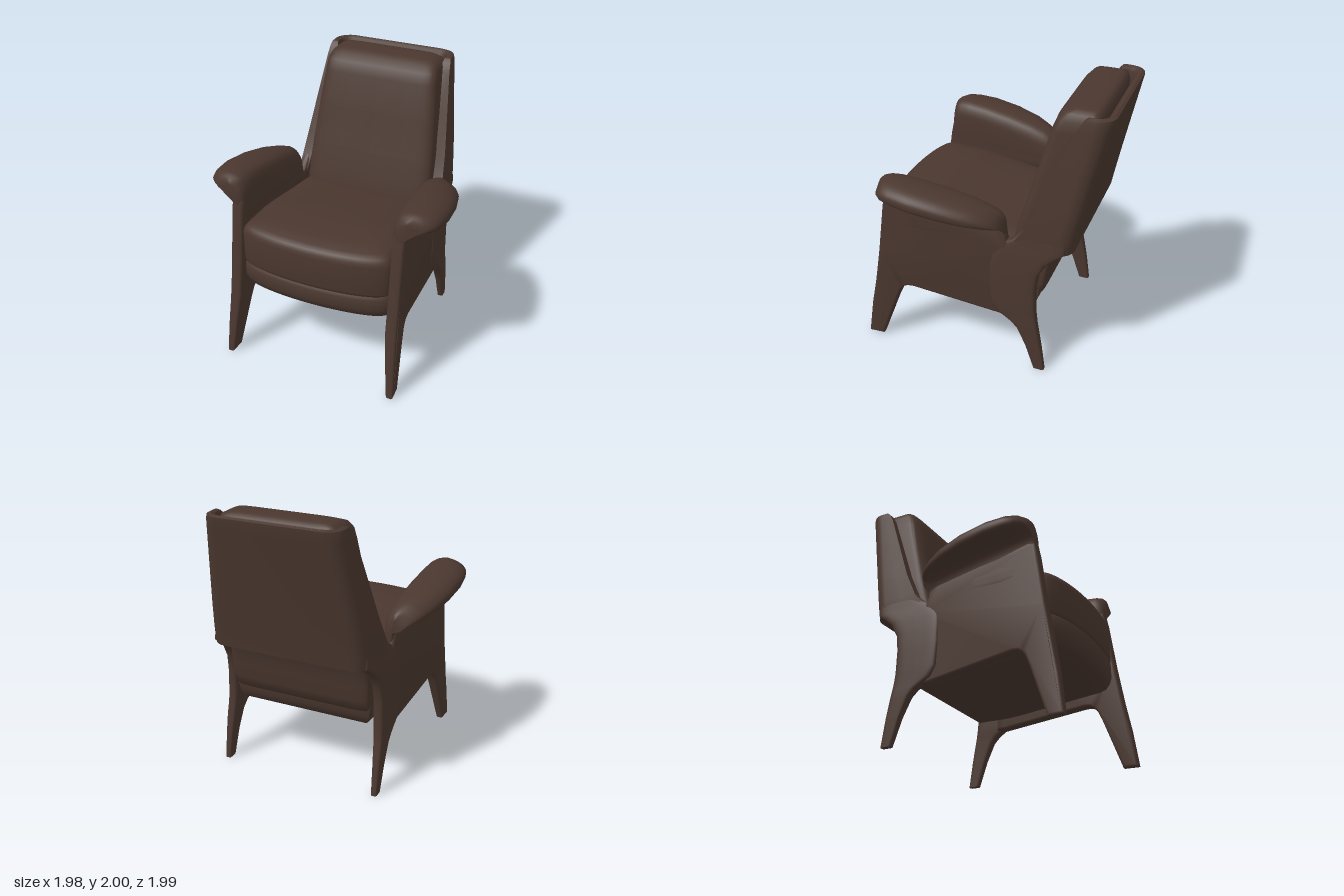
import * as THREE from 'three';
import { toCreasedNormals } from 'three/addons/utils/BufferGeometryUtils.js';

const leather = new THREE.MeshStandardMaterial({ color: 0x4a372f });
leather.name = 'darkBrownLeather';

// Skins a row of equal-length closed rings of [x, y, z], capping both ends if asked
function skin(rings, capped = true) {
  const seg = rings[0].length, pos = rings.flat(2), idx = [];
  for (let i = 0; i < rings.length - 1; i++) {
    for (let j = 0; j < seg; j++) {
      const a = i * seg + j, b = i * seg + (j + 1) % seg;
      idx.push(a, a + seg, b, b, a + seg, b + seg);
    }
  }
  if (capped) [0, rings.length - 1].forEach((i) => {
    const c = pos.length / 3;
    for (let k = 0; k < 3; k++) pos.push(rings[i].reduce((sum, p) => sum + p[k], 0) / seg);
    for (let j = 0; j < seg; j++) {
      const a = i * seg + j, b = i * seg + (j + 1) % seg;
      if (i) idx.push(c, b, a); else idx.push(c, a, b);
    }
  });
  const g = new THREE.BufferGeometry();
  g.setAttribute('position', new THREE.Float32BufferAttribute(pos, 3));
  g.setIndex(idx);
  return g;
}

// Rounded-box sections stacked upward. Each row: [y, xMin, xMax, zMin, zMax]
function loft(rows, n = 5, seg = 48) {
  const power = (t) => Math.sign(t) * Math.pow(Math.abs(t), 2 / n);
  return skin(rows.map(([y, x0, x1, z0, z1]) => Array.from({ length: seg }, (_, j) => {
    const a = (j / seg) * Math.PI * 2;
    return [(x0 + x1) / 2 + (x1 - x0) / 2 * power(Math.cos(a)), y,
      (z0 + z1) / 2 + (z1 - z0) / 2 * power(Math.sin(a))];
  })));
}

// Same, symmetric across x. Each row: [y, halfWidth, back, front]
const loftWide = (rows, n) => loft(rows.map(([y, w, b, f]) => [y, -w, w, b, f]), n, 64);

// Seat-shaped cushion with a bowed front. Each row: [y, scale]; rise(z, y) shifts heights
function seatBody(rows, rear, rise) {
  const outline = [];
  for (let i = 0; i < 8; i++) outline.push([0.52 + 0.045 * i / 8, rear + (0.56 - rear) * i / 8]);
  for (let i = 0; i <= 28; i++) {
    const t = Math.PI * i / 28;
    outline.push([0.565 * Math.cos(t), 0.56 + 0.13 * Math.sin(t)]);
  }
  for (let i = 7; i >= 0; i--) outline.push([-0.52 - 0.045 * i / 8, rear + (0.56 - rear) * i / 8]);
  return skin(rows.map(([y, s]) => outline.map(([x, z]) => {
    const sz = 0.1 + (z - 0.1) * s;
    return [x * s, y + rise(sz, y), sz];
  })));
}

// U-shaped section with rounded rear corners: outer wall, then back along the inner wall
function shellRing([y, w, back, front, t]) {
  const half = (hw, b, r) => {
    const pts = [[hw, front], [hw, (front + b + r) / 2]];
    for (let i = 0; i <= 8; i++) {
      const a = Math.PI / 2 * i / 8;
      pts.push([hw - r + r * Math.cos(a), b + r - r * Math.sin(a)]);
    }
    return pts;
  };
  const wall = (hw, b, r) => {
    const right = half(hw, b, r);
    return [...right.map(([x, z]) => [-x, y, z]), ...right.reverse().map(([x, z]) => [x, y, z])];
  };
  return [...wall(w, back, 0.11), ...wall(w - t, back + t, 0.11 - t * 0.7).reverse()];
}

// Moves every vertex by a rule
function bend(g, rule) {
  const p = g.attributes.position, v = new THREE.Vector3();
  for (let i = 0; i < p.count; i++) {
    v.fromBufferAttribute(p, i);
    rule(v);
    p.setXYZ(i, v.x, v.y, v.z);
  }
  return g;
}

// Arm cross-section: straight inner face rolling over into an outer lip
function armRing(s, [z, inner, panel, outer, top, lip]) {
  const points = [[inner + 0.01, 1.0], [inner, 1.1], [inner, top - 0.17], [inner + 0.012, top - 0.08],
    [inner + 0.05, top - 0.022], [(inner + outer) / 2, top], [outer - 0.05, top - 0.025],
    [outer - 0.005, top - 0.07], [outer - 0.01, lip + 0.01], [outer - 0.06, lip],
    [panel + 0.03, lip - 0.015], [panel, lip - 0.07], [panel, 1.08], [panel - 0.01, 1.0],
  ].map(([x, y]) => new THREE.Vector3(s * x, y, z));
  const ring = new THREE.CatmullRomCurve3(points, true).getPoints(56).slice(0, 56);
  if (s < 0) ring.reverse();
  return ring.map((p) => p.toArray());
}

export function createModel() {
  const group = new THREE.Group();
  const chair = new THREE.Group();
  chair.name = 'armchair';
  chair.rotation.y = THREE.MathUtils.degToRad(-44.3);
  group.add(chair);

  const add = (name, geometry) => {
    const mesh = new THREE.Mesh(toCreasedNormals(geometry, 0.75), leather);
    mesh.name = name;
    chair.add(mesh);
  };

  // seat: crowned cushion falling to the rear, on a base rising to the front
  add('seatCushion', seatBody([[0.77, 0.97], [0.785, 0.995], [0.8, 1], [1.02, 1], [1.05, 0.99], [1.075, 0.965],
    [1.095, 0.9], [1.11, 0.75], [1.12, 0.45], [1.12, 0.05]], -0.5,
  (z, y) => (y > 0.9 ? -0.15 * Math.max(0, 0.25 - z) : 0)));
  add('seatBase', seatBody([[0.465, 0.1], [0.47, 0.8], [0.48, 0.9], [0.51, 0.955], [0.56, 0.985], [0.61, 1],
    [0.75, 1], [0.77, 0.98]], -0.55,
  (z, y) => (y < 0.75 ? 0.13 * Math.max(0, z + 0.2) * (0.75 - y) / 0.28 : 0)));

  // back cushion, leaning backward
  add('backCushion', loftWide([[1.0, 0.5, -0.68, -0.325], [1.1, 0.505, -0.71, -0.345], [1.3, 0.495, -0.76, -0.405],
    [1.6, 0.47, -0.83, -0.485], [1.85, 0.445, -0.885, -0.55], [1.93, 0.435, -0.885, -0.58],
    [1.975, 0.41, -0.875, -0.62], [1.997, 0.36, -0.85, -0.68], [2.0, 0.3, -0.82, -0.72]], 7));

  // outer shell: back and both wings in one wrap
  add('backShell', skin([[1.005, 0.57, -0.765, -0.42, 0], [1.01, 0.588, -0.782, -0.38, 0.07],
    [1.06, 0.588, -0.79, -0.385, 0.075], [1.13, 0.585, -0.803, -0.435, 0.075], [1.33, 0.565, -0.842, -0.53, 0.07],
    [1.65, 0.525, -0.908, -0.65, 0.065], [1.9, 0.493, -0.96, -0.745, 0.06], [1.96, 0.485, -0.973, -0.78, 0.06],
    [1.985, 0.478, -0.975, -0.805, 0.045], [1.995, 0.458, -0.957, -0.82, 0]].map(shellRing), false));

  // padded panel below the shell
  add('lowerBackPanel', loftWide([[0.6, 0.49, -0.545, -0.4], [0.62, 0.515, -0.575, -0.4], [0.7, 0.53, -0.6, -0.4],
    [0.82, 0.535, -0.62, -0.4], [0.95, 0.535, -0.645, -0.4], [1.04, 0.53, -0.7, -0.4]], 10));

  // arm panel with front leg, drawn from the side as (z, y)
  const outline = new THREE.Shape([
    [0.63, 0.01], [0.745, 0.01], [0.71, 0.28], [0.67, 0.5], [0.625, 0.78], [0.595, 1.0], [0.575, 1.15],
    [0.555, 1.25], [0.5, 1.27], [-0.24, 1.15], [-0.3, 1.12], [-0.36, 0.95],
    [-0.36, 0.42], [-0.3, 0.415], [0.37, 0.5], [0.415, 0.497], [0.445, 0.483], [0.468, 0.455], [0.5, 0.38],
  ].map(([z, y]) => new THREE.Vector2(z, y)));

  // arm sections: [z, inner x, panel x, outer x, top, lip]
  const arm = [[-0.325, 0.545, 0.575, 0.64, 1.21, 1.17], [-0.31, 0.52, 0.59, 0.69, 1.255, 1.175],
    [-0.275, 0.508, 0.597, 0.73, 1.285, 1.19], [-0.21, 0.508, 0.602, 0.77, 1.315, 1.205],
    [-0.1, 0.512, 0.61, 0.815, 1.35, 1.225], [0.08, 0.522, 0.622, 0.853, 1.39, 1.255],
    [0.28, 0.535, 0.635, 0.868, 1.422, 1.285], [0.42, 0.543, 0.642, 0.855, 1.435, 1.305],
    [0.49, 0.55, 0.645, 0.835, 1.432, 1.315], [0.53, 0.558, 0.645, 0.8, 1.42, 1.325],
    [0.55, 0.572, 0.64, 0.765, 1.4, 1.33], [0.56, 0.59, 0.63, 0.72, 1.375, 1.335]];

  // rear leg growing into the wing: [y, inner x, outer x, back z, front z]
  const frame = [[0.005, 0.573, 0.617, -0.635, -0.555], [0.2, 0.565, 0.622, -0.605, -0.49],
    [0.34, 0.556, 0.625, -0.578, -0.425], [0.39, 0.552, 0.625, -0.568, -0.375], [0.42, 0.548, 0.624, -0.563, -0.325],
    [0.46, 0.545, 0.624, -0.557, -0.26], [0.53, 0.54, 0.624, -0.55, -0.22], [0.7, 0.535, 0.622, -0.548, -0.21],
    [0.82, 0.53, 0.617, -0.565, -0.21], [0.92, 0.525, 0.61, -0.62, -0.215], [0.98, 0.52, 0.602, -0.69, -0.235],
    [1.02, 0.518, 0.595, -0.74, -0.28], [1.06, 0.517, 0.59, -0.74, -0.36], [1.13, 0.515, 0.583, -0.74, -0.43],
    [1.25, 0.51, 0.565, -0.74, -0.52]];

  for (const [side, s] of [['left', 1], ['right', -1]]) {
    const panel = new THREE.ExtrudeGeometry(outline, {
      depth: 0.04, bevelThickness: 0.02, bevelSize: 0.02, bevelOffset: -0.02, bevelSegments: 4,
    }).translate(0, 0, -0.02).rotateY(-Math.PI / 2);
    add(side + 'ArmPanelAndFrontLeg', bend(panel, (v) => {
      const leg = Math.max(0, 1 - v.y / 0.5);
      v.x = v.x * (1.1 - 0.4 * leg) + s * (0.573 + 0.06 * v.z + 0.03 * leg);
    }));

    add(side + 'ArmRest', skin(arm.map((row) => armRing(s, row))));

    add(side + 'RearLeg', loft(frame.map(([y, a, b, ...depth]) =>
      [y, Math.min(s * a, s * b), Math.max(s * a, s * b), ...depth])));
  }
  return group;
}
